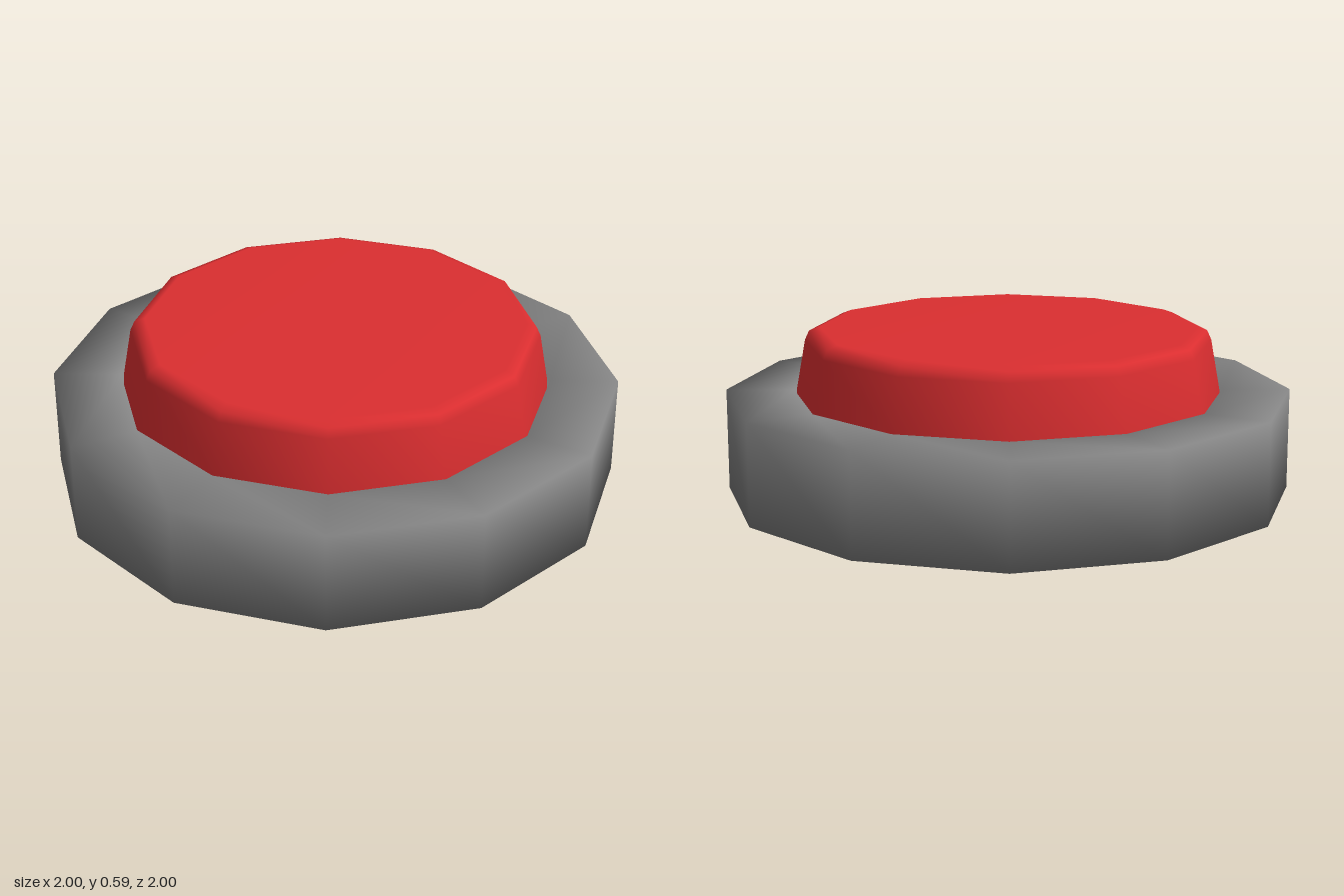
import * as THREE from 'three';

const SIDES = 12;

// Smooth twelve-sided solid turned from a radius/height profile
function turned(name, profile, material) {
  const points = profile.map(([r, y]) => new THREE.Vector2(r, y));
  const mesh = new THREE.Mesh(new THREE.LatheGeometry(points, SIDES), material);
  mesh.name = name;
  return mesh;
}

export function createModel() {
  const grey = new THREE.MeshStandardMaterial({ color: 0x878787 });
  grey.name = 'housing grey';
  const red = new THREE.MeshStandardMaterial({ color: 0xdb2e30 });
  red.name = 'button red';

  const model = new THREE.Group();
  model.name = 'pushButton';

  // Base with a recess for the button
  model.add(turned('base', [
    [0, 0], [1, 0], [1, 0.36], [0.76, 0.36], [0.76, 0.22], [0, 0.22],
  ], grey));

  // Tapered button with a rounded top edge
  model.add(turned('button', [
    [0.755, 0.22], [0.75, 0.36], [0.717, 0.54], [0.702, 0.573], [0.665, 0.587], [0, 0.587],
  ], red));

  return model;
}
